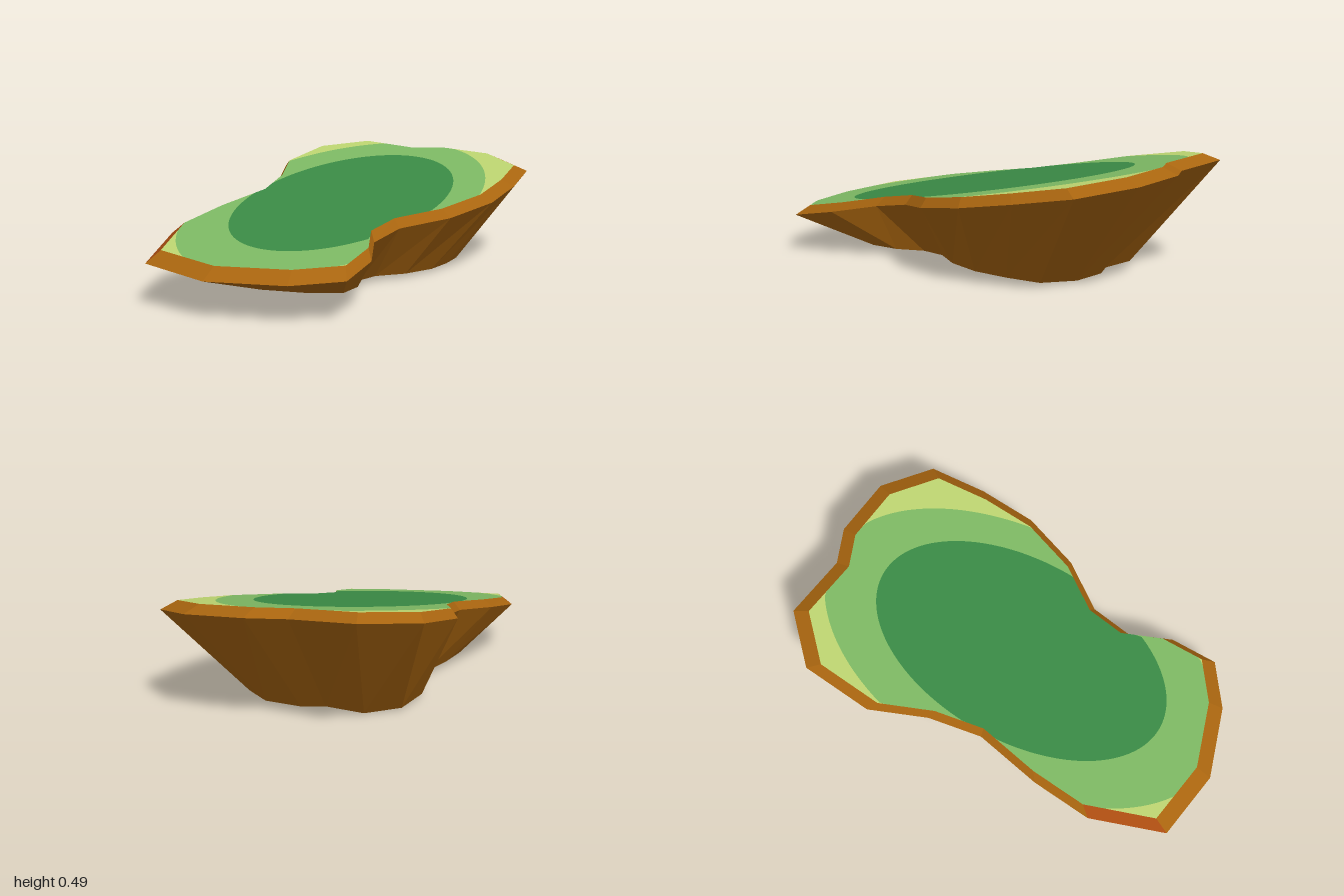
import * as THREE from 'three';

const brown = new THREE.MeshStandardMaterial({ name: 'earth brown', color: 0xa9650f });
const rust = new THREE.MeshStandardMaterial({ name: 'rust brown', color: 0xaa4c10 });
const darkGreen = new THREE.MeshStandardMaterial({ name: 'dark grass', color: 0x3a8a45 });
const midGreen = new THREE.MeshStandardMaterial({ name: 'mid grass', color: 0x7db863 });
const lightGreen = new THREE.MeshStandardMaterial({ name: 'light grass', color: 0xbcd470 });
for (const m of [brown, rust, darkGreen, midGreen, lightGreen]) m.flatShading = true;

// Widest outline of the island as [x, z], clockwise from above
const outline = [
  [-0.44, -0.91], [-0.14, -0.91], [0.01, -0.99], [0.29, -1.0], [0.52, -0.87], [0.58, -0.62],
  [0.605, -0.36], [0.55, -0.09], [0.43, 0.13], [0.43, 0.32], [0.54, 0.5], [0.575, 0.715],
  [0.41, 0.865], [0.1, 0.995], [-0.23, 0.975], [-0.39, 0.66], [-0.405, 0.385], [-0.385, 0.08],
  [-0.46, -0.15], [-0.595, -0.38], [-0.61, -0.7],
];
const RUST_SEGMENT = 14;

// Tilted planes that hold the three rings
const topY = (x, z) => 0.344 - 0.058 * x - 0.149 * z;
const rimY = (x, z) => 0.307 - 0.058 * x - 0.147 * z;
const baseY = (x, z) => Math.max(0, 0.019 + 0.03 * z);

const ring = (scale, dz, height) => outline.map(([x, z]) => {
  const px = x * scale, pz = z * scale + dz;
  return new THREE.Vector3(px, height(px, pz), pz);
});

function meshFrom(name, points, material) {
  const geometry = new THREE.BufferGeometry().setFromPoints(points);
  geometry.computeVertexNormals();
  const mesh = new THREE.Mesh(geometry, material);
  mesh.name = name;
  return mesh;
}

// Outward quads between two rings, for the chosen segments
function band(lower, upper, pick = () => true) {
  const points = [];
  lower.forEach((a, i) => {
    if (!pick(i)) return;
    const j = (i + 1) % lower.length;
    points.push(lower[j], a, upper[i], lower[j], upper[i], upper[j]);
  });
  return points;
}

// Distance from the pole to an outline along a direction
const pole = { x: 0.05, z: 0 };
function reachEdge(loop, c, s) {
  let best = Infinity;
  loop.forEach((a, i) => {
    const b = loop[(i + 1) % loop.length];
    const ax = a.x - pole.x, az = a.z - pole.z, ex = b.x - a.x, ez = b.z - a.z;
    const d = c * ez - s * ex;
    if (Math.abs(d) < 1e-9) return;
    const r = (ax * ez - az * ex) / d, t = (ax * s - az * c) / d;
    if (r > 0 && t > -1e-6 && t < 1 + 1e-6) best = Math.min(best, r);
  });
  return best;
}

// Distance from the pole to a slightly sheared ellipse along a direction
function reachEllipse(e, c, s) {
  const shear = 0.085;
  const ox = pole.x - e.x, oz = pole.z - e.z;
  const px = (ox - shear * oz) / e.rx, pz = oz / e.rz;
  const dx = (c - shear * s) / e.rx, dz = s / e.rz;
  const A = dx * dx + dz * dz, B = px * dx + pz * dz, C = px * px + pz * pz - 1;
  return (-B + Math.sqrt(B * B - A * C)) / A;
}

export function createModel() {
  const group = new THREE.Group();
  group.name = 'island';

  const base = ring(0.615, -0.01, baseY);
  const rim = ring(1, 0, rimY);
  const top = ring(0.926, 0, topY);

  // Underside and sloping sides
  const baseCentre = new THREE.Vector3(0.03, baseY(0, 0), 0);
  const floor = [];
  base.forEach((p, i) => floor.push(baseCentre, p, base[(i + 1) % base.length]));
  group.add(meshFrom('underside', floor, brown));
  group.add(meshFrom('earthSides', band(base, rim), brown));

  // Bevelled rim with one rust-coloured facet
  group.add(meshFrom('rim', band(rim, top, (i) => i !== RUST_SEGMENT), brown));
  group.add(meshFrom('rimRustFacet', band(rim, top, (i) => i === RUST_SEGMENT), rust));

  // Grass zones: two ellipses clipped by the top outline
  const angles = top.map((p) => Math.atan2(p.z - pole.z, p.x - pole.x));
  for (let i = 0; i < 240; i++) angles.push(-Math.PI + (i + 0.5) * Math.PI / 120);
  angles.sort((a, b) => a - b);
  const inner = { x: 0.05, z: -0.01, rx: 0.435, rz: 0.7 };
  const outer = { x: 0.035, z: 0.012, rx: 0.592, rz: 0.952 };
  const rays = angles.map((t) => {
    const c = Math.cos(t), s = Math.sin(t);
    const edge = reachEdge(top, c, s);
    const stops = [0, Math.min(edge, reachEllipse(inner, c, s)), Math.min(edge, reachEllipse(outer, c, s)), edge];
    return stops.map((r) => {
      const x = pole.x + r * c, z = pole.z + r * s;
      return new THREE.Vector3(x, topY(x, z), z);
    });
  });
  [['grassCentre', darkGreen], ['grassMiddle', midGreen], ['grassEdge', lightGreen]].forEach(([name, material], k) => {
    const points = [];
    const tri = (a, b, c) => {
      const area = b.clone().sub(a).cross(c.clone().sub(a)).length();
      if (area > 1e-8) points.push(a, b, c);
    };
    rays.forEach((a, i) => {
      const b = rays[(i + 1) % rays.length];
      tri(a[k], b[k + 1], a[k + 1]);
      tri(a[k], b[k], b[k + 1]);
    });
    group.add(meshFrom(name, points, material));
  });

  return group;
}
